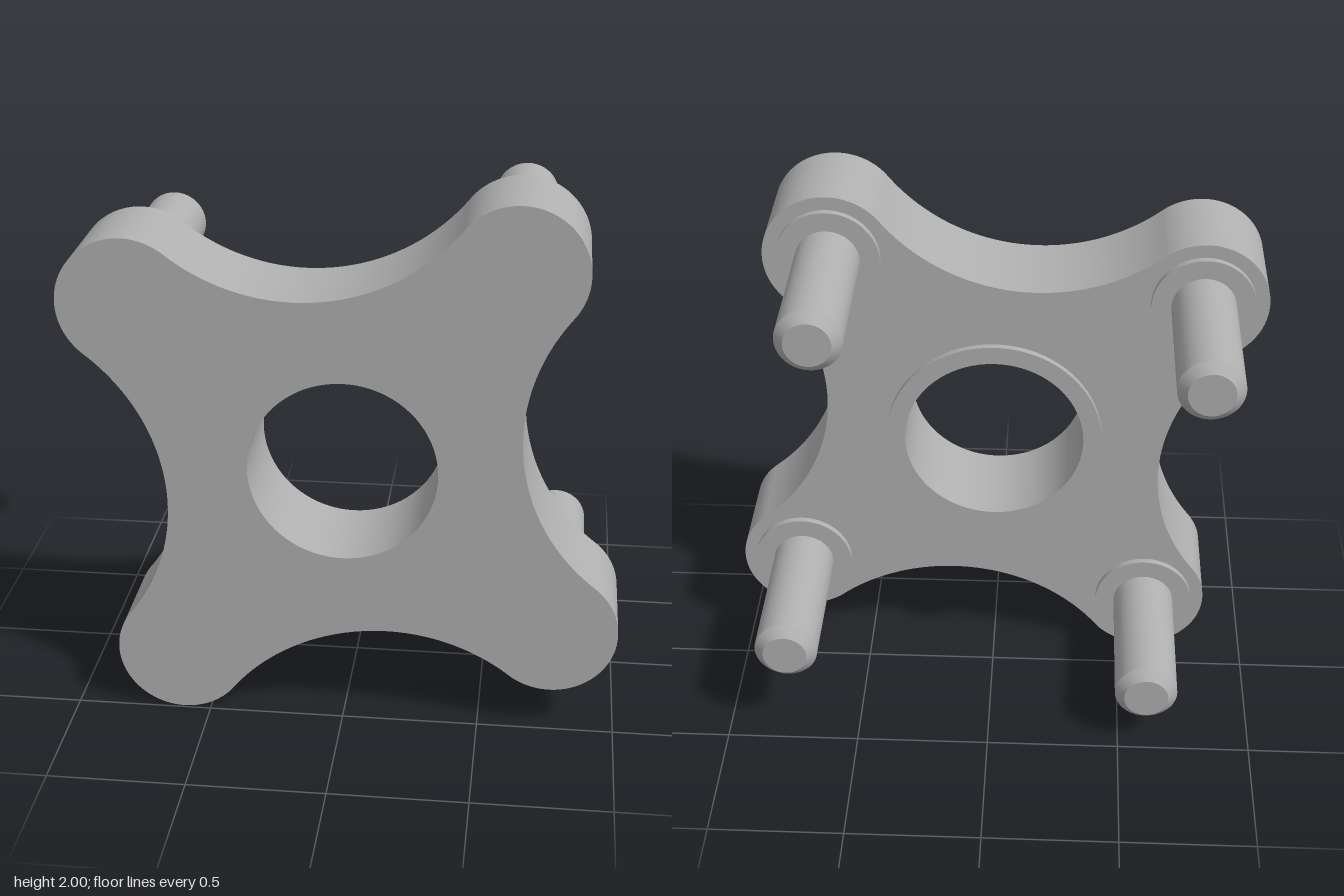
import * as THREE from 'three';
import { toCreasedNormals } from 'three/addons/utils/BufferGeometryUtils.js';

const LOBE_X = 0.6, LOBE_Y = 0.76, LOBE_R = 0.24;
const REACH = Math.hypot(LOBE_X, LOBE_Y);
const TILT = Math.atan2(LOBE_Y, LOBE_X);
const HOLE_R = 0.34, PLATE_BACK = 0.125, PLATE_FRONT = 0.49, PAD_BACK = 0.1;

const smooth = (geometry) => toCreasedNormals(geometry, 0.5);

// Extrudes a shape between two depths
function slab(shape, back, front) {
  const geometry = new THREE.ExtrudeGeometry(shape, { depth: front - back, bevelEnabled: false, curveSegments: 40 });
  return smooth(geometry.translate(0, 0, back));
}

function addBore(shape) {
  shape.holes.push(new THREE.Path().absarc(0, 0, HOLE_R, 0, Math.PI * 2, true));
  return shape;
}

export function createModel() {
  const model = new THREE.Group();
  model.name = 'spiderCoupling';
  const metal = new THREE.MeshStandardMaterial({ color: 0xb0b0b0 });
  metal.name = 'grey metal';

  const body = new THREE.Group();
  body.name = 'body';
  body.position.y = 1;
  model.add(body);
  const add = (name, geometry, x = 0, y = 0) => {
    const mesh = new THREE.Mesh(geometry, metal);
    mesh.name = name;
    mesh.position.set(x, y, 0);
    body.add(mesh);
  };

  // Four-lobed plate: half-round lobes joined by tangent concave quarter arcs
  const outline = new THREE.Shape();
  for (let i = 0; i < 4; i++) {
    const a = TILT + i * Math.PI / 2;
    const c = Math.cos(a) * REACH, s = Math.sin(a) * REACH;
    outline.absarc(c, s, LOBE_R, a - Math.PI / 2, a + Math.PI / 2, false);
    outline.absarc(c - s, s + c, REACH - LOBE_R, a - Math.PI / 2, a - Math.PI, true);
  }
  add('plate', slab(addBore(outline), PLATE_BACK, PLATE_FRONT));

  // Raised rim around the bore on the back
  const rim = addBore(new THREE.Shape().absarc(0, 0, 0.41, 0, Math.PI * 2, false));
  add('boreRim', slab(rim, PAD_BACK, PLATE_BACK));

  // Pads and chamfered pins, pointing backwards
  const padGeometry = new THREE.CylinderGeometry(0.19, 0.19, PLATE_BACK - PAD_BACK, 64)
    .rotateX(-Math.PI / 2).translate(0, 0, (PAD_BACK + PLATE_BACK) / 2);
  const profile = [[0.118, -PAD_BACK], [0.118, 0.455], [0.083, 0.49], [0, 0.49]]
    .map(([r, h]) => new THREE.Vector2(r, h));
  const pinGeometry = smooth(new THREE.LatheGeometry(profile, 48).rotateX(-Math.PI / 2));
  for (let i = 0; i < 4; i++) {
    const a = TILT + i * Math.PI / 2;
    const x = Math.cos(a) * REACH, y = Math.sin(a) * REACH;
    add('pinPad' + (i + 1), padGeometry, x, y);
    add('pin' + (i + 1), pinGeometry, x, y);
  }
  return model;
}
